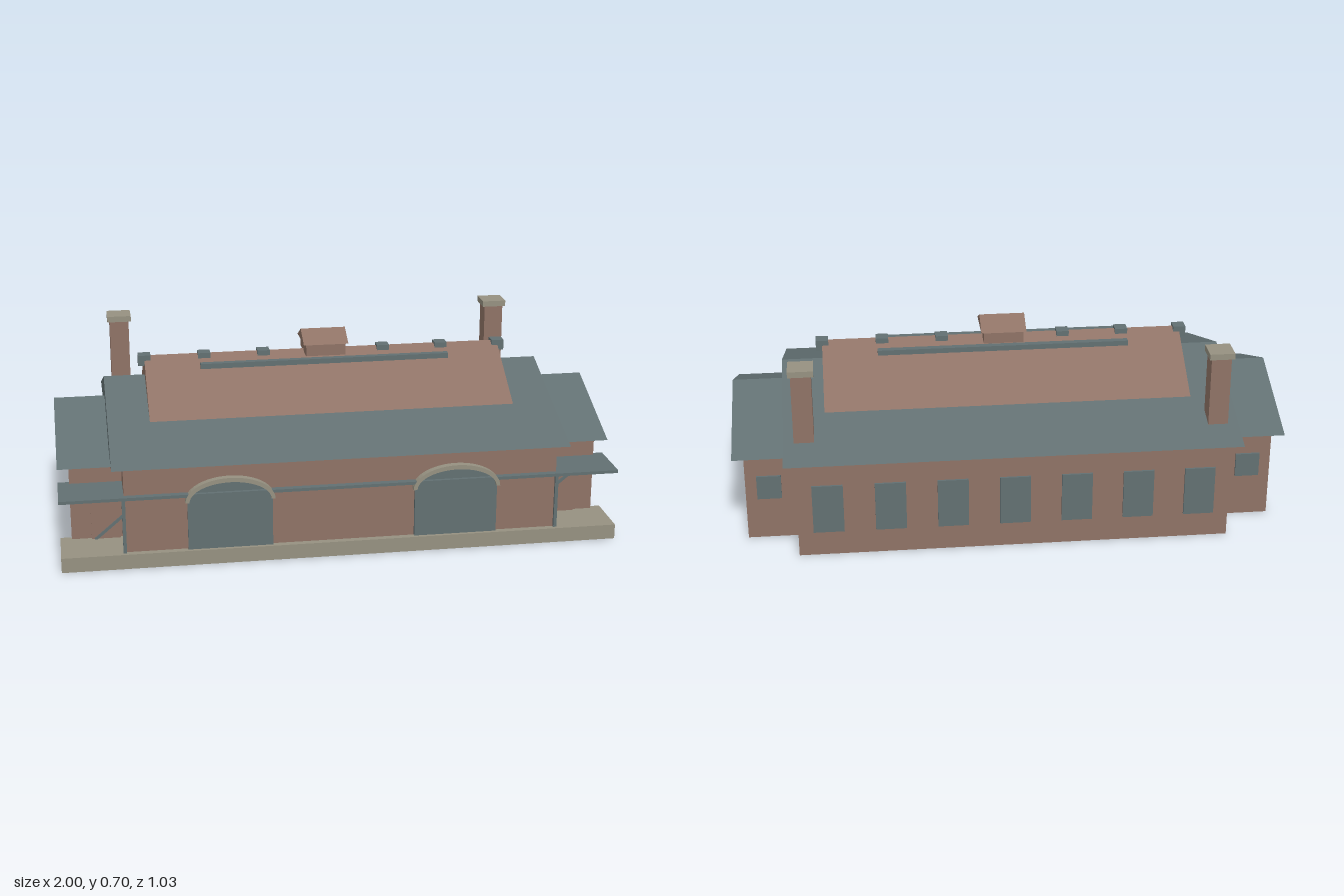
import * as THREE from 'three';

const material = (name, color) => {
  const m = new THREE.MeshStandardMaterial({ color });
  m.name = name;
  return m;
};

export function createModel() {
  const brick = material('brick', 0x8f7366);
  const slate = material('slate', 0x627072);
  const stone = material('stone', 0x969181);
  const model = new THREE.Group();
  model.name = 'stationBuilding';

  const add = (name, geometry, mat) => {
    const mesh = new THREE.Mesh(geometry, mat);
    mesh.name = name;
    model.add(mesh);
    return mesh;
  };
  // Box given by its limits on each axis
  const box = (name, mat, [x0, x1], [y0, y1], [z0, z1]) => {
    const g = new THREE.BoxGeometry(x1 - x0, y1 - y0, z1 - z0);
    g.translate((x0 + x1) / 2, (y0 + y1) / 2, (z0 + z1) / 2);
    return add(name, g, mat);
  };
  // Triangular prism with its ridge along x
  const gable = (name, mat, halfX, halfZ, y0, y1) => {
    const s = new THREE.Shape([
      new THREE.Vector2(-halfZ, y0), new THREE.Vector2(halfZ, y0), new THREE.Vector2(0, y1),
    ]);
    const g = new THREE.ExtrudeGeometry(s, { depth: halfX * 2, bevelEnabled: false });
    g.translate(0, 0, -halfX).rotateY(Math.PI / 2);
    return add(name, g, mat);
  };

  // Walls and roofs
  box('mainHall', brick, [-0.775, 0.775], [0, 0.372], [-0.48, 0.48]);
  for (const s of [-1, 1]) {
    const x = [0.77 * s, 0.96 * s].sort((a, b) => a - b);
    box('wing', brick, x, [0, 0.337], [-0.333, 0.333]);
  }
  gable('mainRoof', slate, 0.815, 0.517, 0.372, 0.555);
  gable('wingRoof', slate, 1, 0.37, 0.335, 0.481);
  gable('raisedRoof', brick, 0.665, 0.275, 0.456, 0.628);

  // Ridge vents, rails and cupola
  for (const x of [-0.665, -0.445, -0.225, 0.225, 0.445, 0.665]) {
    box('ridgeVent', slate, [x - 0.023, x + 0.023], [0.594, 0.633], [-0.023, 0.023]);
  }
  for (const z of [-0.061, 0.061]) {
    box('ridgeRail', slate, [-0.463, 0.463], [0.587, 0.606], [z - 0.012, z + 0.012]);
  }
  box('cupola', brick, [-0.073, 0.073], [0.618, 0.664], [-0.073, 0.073]);
  gable('cupolaRoof', brick, 0.083, 0.082, 0.662, 0.704);

  // Chimneys
  for (const x of [-0.74, 0.74]) {
    box('chimney', brick, [x - 0.036, x + 0.036], [0.38, 0.67], [-0.406, -0.334]);
    box('chimneyCap', stone, [x - 0.045, x + 0.045], [0.668, 0.69], [-0.416, -0.325]);
  }

  // Platform, canopy and posts
  box('platform', stone, [-1, 1], [0.001, 0.055], [0.315, 0.504]);
  box('canopy', slate, [-1, 1], [0.256, 0.267], [0.315, 0.504]);
  for (const x of [-0.777, 0.777]) {
    box('canopyPost', slate, [x - 0.006, x + 0.006], [0.055, 0.257], [0.477, 0.49]);
  }

  // Arched freight doors with stone surrounds
  const rx = 0.152, ry = 0.072, spring = 0.235;
  for (const x of [-0.405, 0.405]) {
    const door = new THREE.Shape();
    door.moveTo(-0.15, 0.055);
    door.lineTo(0.15, 0.055);
    door.lineTo(0.15, spring);
    door.absellipse(0, spring, 0.15, ry, 0, Math.PI, false);
    door.closePath();
    const doorGeo = new THREE.ExtrudeGeometry(door, { depth: 0.012, bevelEnabled: false, curveSegments: 12 });
    add('freightDoor', doorGeo.translate(x, 0, 0.479), slate);

    const arch = new THREE.Shape();
    arch.absellipse(0, spring, rx + 0.006, ry + 0.014, 0, Math.PI, false);
    arch.lineTo(-rx + 0.008, spring);
    arch.absellipse(0, spring, rx - 0.008, ry - 0.002, Math.PI, 0, true);
    arch.closePath();
    const archGeo = new THREE.ExtrudeGeometry(arch, { depth: 0.026, bevelEnabled: false, curveSegments: 12 });
    add('doorArch', archGeo.translate(x, 0, 0.479), stone);
  }

  // Wing doors, their diagonal bars and the small back windows
  for (const s of [-1, 1]) {
    const x = 0.837 * s;
    box('wingDoor', brick, [x - 0.052, x + 0.052], [0.055, 0.222], [0.332, 0.342]);
    const bar = new THREE.BoxGeometry(0.142, 0.009, 0.008).rotateZ(0.7);
    add('diagonalBar', bar.translate(s > 0 ? 0.832 : -0.822, s > 0 ? 0.174 : 0.1, 0.346), slate);
    box('wingWindow', slate, [0.875 * s - 0.044, 0.875 * s + 0.044], [0.16, 0.25], [-0.341, -0.332]);
  }

  // Row of tall back windows
  for (let i = -3; i <= 3; i++) {
    const x = i * 0.222;
    box('backWindow', slate, [x - 0.055, x + 0.055], [0.094, 0.278], [-0.488, -0.479]);
  }

  return model;
}
